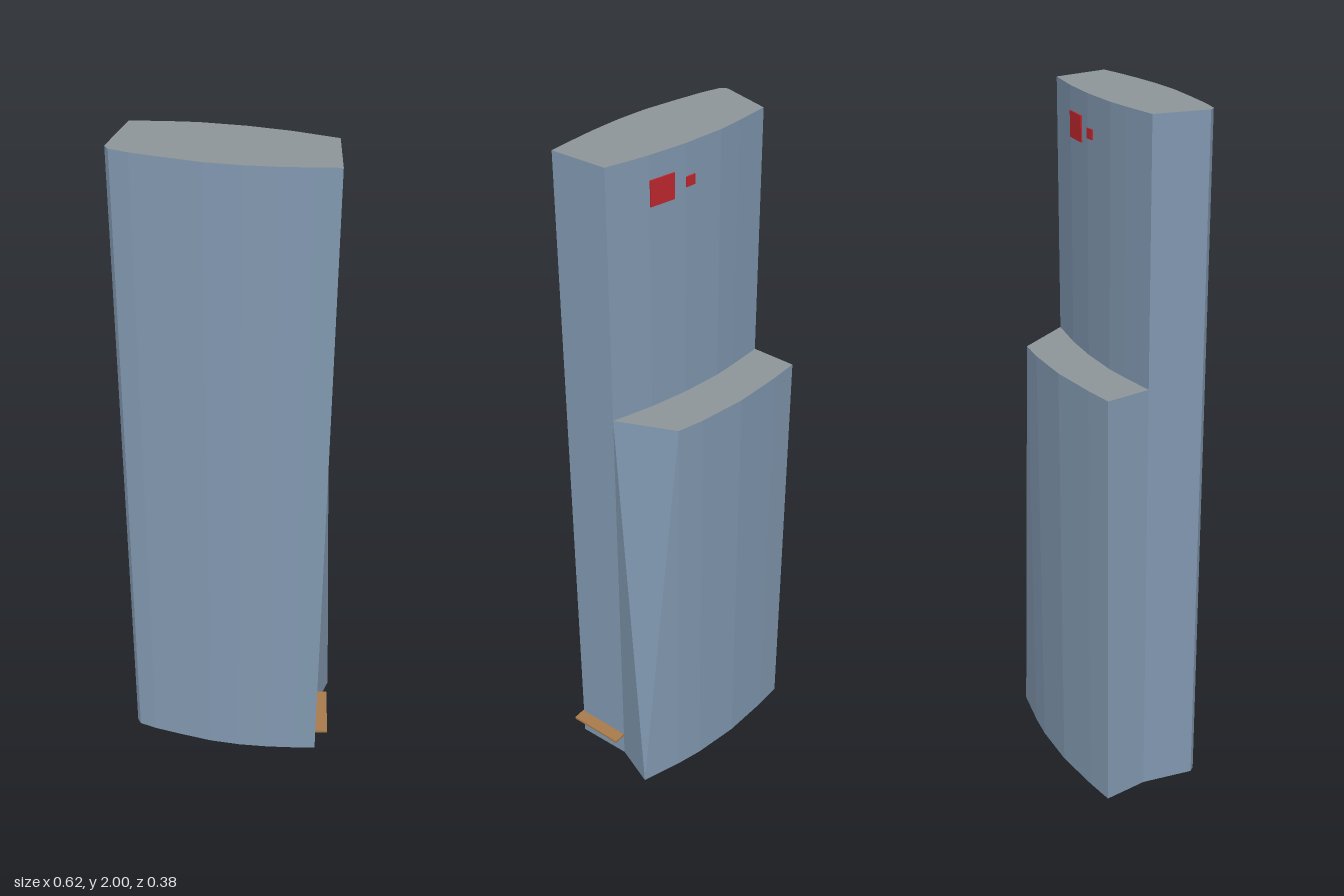
import * as THREE from 'three';

const mat = (name, color) => Object.assign(new THREE.MeshStandardMaterial({ color }), { name });

// Curved back edge of the tower, then its right side and curved front, as [x, z]
const towerBack = [[-0.265, -0.062], [-0.16, -0.061], [-0.09, -0.058], [0.03, -0.04], [0.14, -0.014], [0.257, 0.024]];
const towerFront = [[0.26, 0.187], [0.19, 0.188], [0.11, 0.187], [0.02, 0.181], [-0.07, 0.168],
  [-0.17, 0.143], [-0.25, 0.121], [-0.3, 0.102], [-0.31, 0.085]];
const podiumBack = [[-0.262, -0.193], [-0.175, -0.193], [-0.03, -0.186], [0.11, -0.162], [0.187, -0.141]];

// Faceted block between two outlines; group 0 is walls and underside, group 1 the roof
function block(bottom, top, height) {
  const pos = [];
  const at = (p, y) => new THREE.Vector3(p[0], y, p[1]);
  const tri = (a, b, c) => {
    const n = b.clone().sub(a).cross(c.clone().sub(a));
    if (n.length() > 1e-7) for (const v of [a, b, c]) pos.push(v.x, v.y, v.z);
  };
  const cap = (ring, y, up) => {
    const pts = ring.map((p) => new THREE.Vector2(p[0], p[1]));
    for (const f of THREE.ShapeUtils.triangulateShape(pts, [])) {
      const [a, b, c] = f.map((i) => at(ring[i], y));
      const ny = b.clone().sub(a).cross(c.clone().sub(a)).y;
      if (ny * up > 0) tri(a, b, c);
      else tri(a, c, b);
    }
  };
  bottom.forEach((p, i) => {
    const j = (i + 1) % bottom.length;
    const bi = at(p, 0), bj = at(bottom[j], 0), ti = at(top[i], height), tj = at(top[j], height);
    tri(bi, ti, tj);
    tri(bi, tj, bj);
  });
  cap(bottom, 0, -1);
  const split = pos.length / 3;
  cap(top, height, 1);
  const geo = new THREE.BufferGeometry();
  geo.setAttribute('position', new THREE.Float32BufferAttribute(pos, 3));
  geo.addGroup(0, split, 0);
  geo.addGroup(split, pos.length / 3 - split, 1);
  geo.computeVertexNormals();
  return geo;
}

// Depth of the tower's back wall at a given x
function backZ(x) {
  const i = towerBack.findIndex((p) => p[0] >= x);
  const [a, b] = [towerBack[i - 1], towerBack[i]];
  return a[1] + (b[1] - a[1]) * (x - a[0]) / (b[0] - a[0]);
}

export function createModel() {
  const group = new THREE.Group();
  const wall = mat('blueGreyWall', 0x8299b1);
  const roof = mat('greyRoof', 0x8e979b);
  const red = mat('redSign', 0xc0282e);
  const wood = mat('tanCanopy', 0xa97c4c);

  const add = (name, geo, material) => {
    const mesh = new THREE.Mesh(geo, material);
    mesh.name = name;
    group.add(mesh);
    return mesh;
  };

  // Tall tower with bowed front and back
  const ring = [...towerBack, ...towerFront];
  add('tower', block(ring, ring, 2), [wall, roof]);

  // Rear block, its +x corner flaring out towards the ground
  const joint = [[0.257, 0.024], [-0.265, -0.062]];
  const flare = [...podiumBack, [0.307, -0.1], ...joint];
  const straight = [...podiumBack, [0.187, -0.141], ...joint];
  add('rearBlock', block(flare, straight, 1.28), [wall, roof]);

  // Entrance canopy
  add('canopy', new THREE.BoxGeometry(0.038, 0.008, 0.168), wood).position.set(0.278, 0.08, 0.107);

  // Sign panels on the back wall near the top
  for (const [name, x0, x1, y0, y1] of [['largeSign', 0.065, 0.138, 1.865, 1.935], ['smallSign', 0.0, 0.029, 1.885, 1.912]]) {
    const z0 = backZ(x0), z1 = backZ(x1);
    const sign = add(name, new THREE.BoxGeometry(Math.hypot(x1 - x0, z1 - z0), y1 - y0, 0.006), red);
    sign.position.set((x0 + x1) / 2, (y0 + y1) / 2, (z0 + z1) / 2 - 0.001);
    sign.rotation.y = -Math.atan2(z1 - z0, x1 - x0);
  }
  return group;
}
